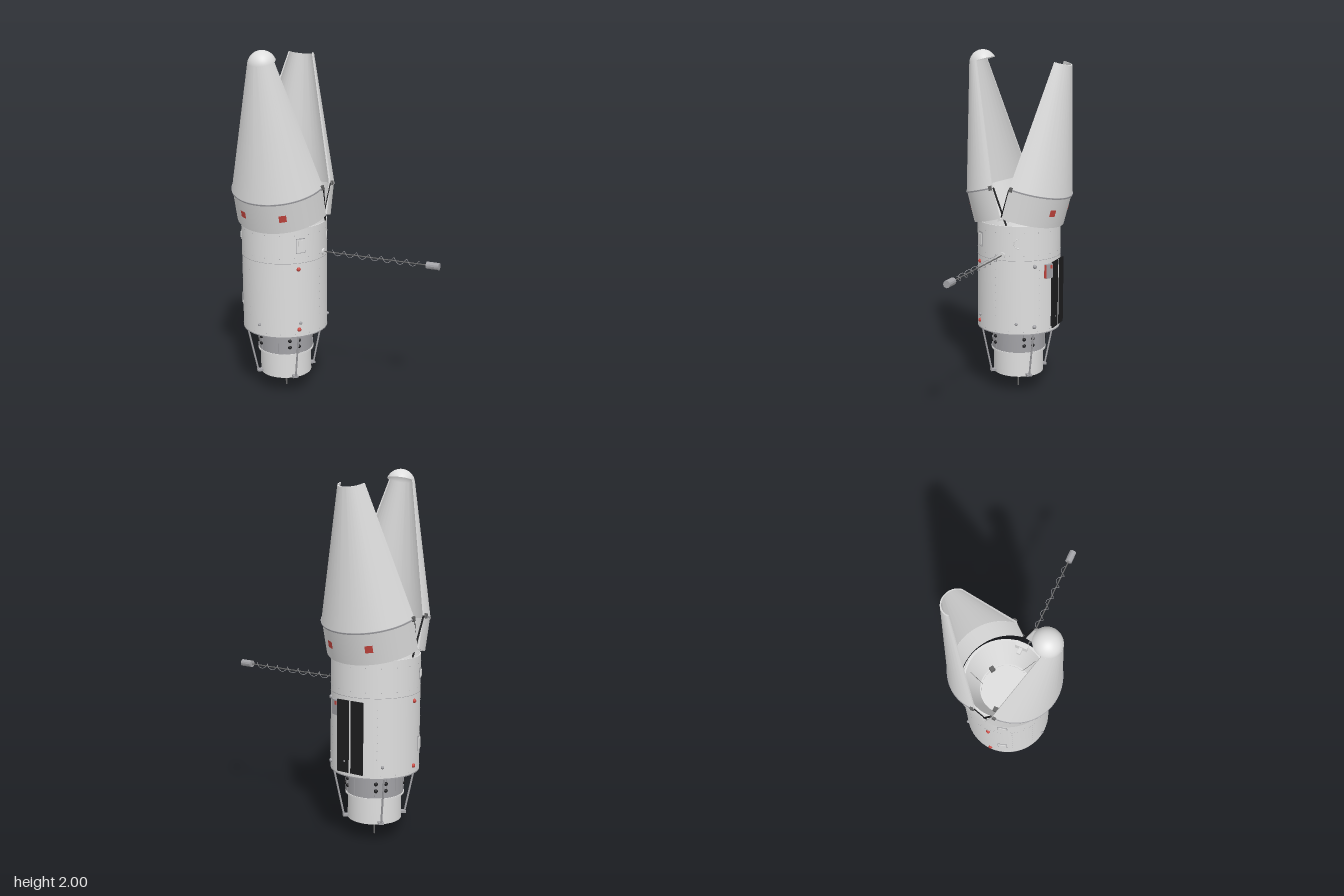
import * as THREE from 'three';
import { toCreasedNormals, mergeGeometries } from 'three/addons/utils/BufferGeometryUtils.js';

const colour = (name, hex) => {
  const m = new THREE.MeshStandardMaterial({ color: hex, side: THREE.DoubleSide });
  m.name = name;
  return m;
};
const light = colour('light grey', 0xdedede);
const steel = colour('steel grey', 0xa2a2a6);
const dark = colour('dark grey', 0x666666);
const black = colour('black', 0x1c1c1e);
const red = colour('red', 0xc8463f);

const rad = THREE.MathUtils.degToRad;
const v = (x, y, z) => new THREE.Vector3(x, y, z);
// Point on a cylinder; angle in degrees from +z towards +x
const polar = (r, deg, y) => v(r * Math.sin(rad(deg)), y, r * Math.cos(rad(deg)));

function add(parent, name, geometry, material, pos) {
  const mesh = new THREE.Mesh(geometry, material);
  mesh.name = name;
  if (pos) mesh.position.copy(pos);
  parent.add(mesh);
  return mesh;
}
function lathe(points, start = 0, length = Math.PI * 2, segments = 64) {
  const pts = points.map(([x, y]) => new THREE.Vector2(x, y));
  return toCreasedNormals(new THREE.LatheGeometry(pts, segments, start, length), 0.2);
}
// Round bar between two points
function rod(parent, name, a, b, r, material) {
  const d = b.clone().sub(a);
  const mesh = add(parent, name, new THREE.CylinderGeometry(r, r, d.length(), 8), material,
    a.clone().add(b).multiplyScalar(0.5));
  mesh.quaternion.setFromUnitVectors(v(0, 1, 0), d.normalize());
  return mesh;
}
// Thin curved plate lying on a cylinder
function plate(parent, name, r, deg, widthDeg, y, h, material) {
  const g = new THREE.CylinderGeometry(r, r, h, 12, 1, true, rad(deg - widthDeg / 2), rad(widthDeg));
  return add(parent, name, g, material, v(0, y, 0));
}
// Box on a cylinder, facing outwards
function outwardBox(parent, name, r, deg, y, size, material) {
  const mesh = add(parent, name, new THREE.BoxGeometry(...size), material, polar(r, deg, y));
  mesh.rotation.y = rad(deg);
  return mesh;
}

// One half of the opened nose fairing, hinged 15 degrees outwards
function fairingHalf(withNose) {
  const half = new THREE.Group();
  half.name = 'fairingHalf';
  const profile = [[0.255, 0], [0.264, 0], [0.264, 0.18], [0.267, 0.18], [0.076, 0.897],
    [0.069, 0.897], [0.256, 0.18], [0.255, 0.18], [0.255, 0]];
  add(half, 'fairingShell', lathe(profile, -Math.PI / 2, Math.PI, 48), light);
  const edge = new THREE.ShapeGeometry(new THREE.Shape(profile.map(([x, y]) => new THREE.Vector2(x, y))));
  add(half, 'shellEdge', edge, light);
  add(half, 'shellEdge', edge, light).rotation.y = Math.PI;
  add(half, 'seamBand', lathe([[0.264, 0.175], [0.27, 0.175], [0.27, 0.183], [0.265, 0.183]],
    -Math.PI / 2, Math.PI, 48), steel);
  for (const s of [-1, 1]) {
    plate(half, 'redMarker', 0.2665, s * 27, 9, 0.089, 0.04, red);
    add(half, 'hingeLug', new THREE.BoxGeometry(0.014, 0.026, 0.018), dark, v(s * 0.268, 0.18, 0.012));
  }
  if (withNose) {
    const R = 0.076 / Math.cos(rad(15));
    add(half, 'noseCap', new THREE.SphereGeometry(R, 32, 12, 0, Math.PI * 2, 0, rad(75)), light,
      v(0, 0.897 - R * Math.sin(rad(15)), 0));
  }
  half.position.set(0, 1.075, 0.005);
  half.rotation.x = rad(15);
  const pivot = new THREE.Group();
  pivot.name = withNose ? 'frontFairing' : 'backFairing';
  pivot.add(half);
  return pivot;
}

function buildHull(craft) {
  const R = 0.243;
  // Main drum with a conical recess in its top
  add(craft, 'mainBody', lathe([[0, 0.39], [R, 0.39], [R, 1.03], [0.237, 1.03], [0.23, 1.06],
    [0.22, 1.06], [0.146, 0.88], [0, 0.88]]), light);
  add(craft, 'recessRing', lathe([[0.146, 0.881], [0.146, 0.886], [0.137, 0.886], [0.137, 0.881]]), light);
  for (const [y, h] of [[0.393, 0.006], [0.83, 0.002]])
    add(craft, 'bodySeam', new THREE.CylinderGeometry(R + 0.001, R + 0.001, h, 64, 1, true), steel, v(0, y, 0));
  for (const deg of [-90, 30, 150])
    outwardBox(craft, 'recessLatch', 0.137, deg, 0.895, [0.026, 0.03, 0.026], dark);
  for (const deg of [189, 60, 303])
    rod(craft, 'recessRod', polar(0.2, deg, 1.02), polar(0.13, deg + 9, 0.93), 0.0012, dark);

  // Engine section, ribs and tail
  add(craft, 'engineSection', lathe([[0, 0.25], [0.158, 0.25], [0.158, 0.39]]), steel);
  add(craft, 'engineRim', lathe([[0.148, 0.246], [0.162, 0.246], [0.162, 0.256], [0.157, 0.256]]), light);
  for (let i = 0; i < 16; i++)
    outwardBox(craft, 'engineRib', 0.159, i * 22.5 + 11, 0.322, [0.003, 0.13, 0.004], steel);
  add(craft, 'tailSection', lathe([[0, 0.105], [0.148, 0.105], [0.148, 0.25]]), light);
  rod(craft, 'tailProbe', v(0, 0, 0), v(0, 0.107, 0), 0.005, dark);
  for (const deg of [45, 135, 225, 315]) {
    rod(craft, 'tailStrut', polar(0.23, deg, 0.393), polar(0.172, deg, 0.12), 0.0055, steel);
    outwardBox(craft, 'strutFoot', 0.161, deg, 0.119, [0.03, 0.012, 0.034], steel);
    for (const d of [-10, 10]) for (const y of [0.298, 0.337])
      add(craft, 'thruster', new THREE.SphereGeometry(0.011, 12, 8), black, polar(0.158, deg + d, y));
  }
}

function buildDetails(craft) {
  const R = 0.243;
  // Signal lamps and small sensor domes
  const bead = new THREE.SphereGeometry(0.012, 14, 10);
  for (const y of [0.795, 0.437]) {
    for (const deg of [45, 270]) add(craft, 'redLamp', bead, red, polar(R, deg, y));
    add(craft, 'greyLamp', bead, steel, polar(R, 135, y));
  }
  for (const [deg, y] of [[-10, 0.458], [47, 0.476], [110, 0.458], [172, 0.476], [222, 0.458]])
    add(craft, 'sensorDome', new THREE.SphereGeometry(0.009, 12, 8), steel, polar(R + 0.003, deg, y));

  // Hatches with raised frames
  for (const [deg, y, h] of [[48, 0.93, 0.085], [-70, 0.93, 0.06], [-72, 0.545, 0.085]]) {
    plate(craft, 'hatchFrame', R + 0.002, deg, 13, y, h, steel);
    plate(craft, 'hatchCover', R + 0.004, deg, 11.5, y, h - 0.008, light);
    outwardBox(craft, 'hatchBox', R, deg, y, [0.03, h - 0.025, 0.014], light);
  }
  // Half-round handrail beside the boom
  const rail = add(craft, 'handrail', new THREE.TorusGeometry(0.028, 0.0025, 6, 16, Math.PI), light,
    polar(R, 113, 0.93));
  rail.rotation.set(0, rad(113), Math.PI / 2, 'YXZ');

  // Solar panels on the back
  for (const s of [-1, 1]) {
    add(craft, 'solarPanel', new THREE.BoxGeometry(0.076, 0.395, 0.008), black, v(s * 0.043, 0.612, -0.246));
    add(craft, 'panelMount', new THREE.BoxGeometry(0.06, 0.38, 0.014), black, v(s * 0.04, 0.612, -0.236));
  }
  add(craft, 'panelDivider', new THREE.BoxGeometry(0.009, 0.395, 0.009), light, v(0, 0.612, -0.246));

  // Instrument box with red strips on its side and a small red marker
  outwardBox(craft, 'instrumentBox', R, 156, 0.76, [0.052, 0.082, 0.036], steel);
  const side = new THREE.Group();
  side.name = 'instrumentMarkings';
  side.position.copy(polar(R, 156, 0.76));
  side.rotation.y = rad(156);
  craft.add(side);
  for (const z of [0.004, 0.013])
    add(side, 'redStrip', new THREE.BoxGeometry(0.003, 0.078, 0.007), red, v(-0.0265, 0, z));
  add(side, 'redMarker', new THREE.BoxGeometry(0.014, 0.02, 0.003), red, v(0.012, 0.025, 0.0185));

  // Rows and columns of rivets, merged into one mesh
  const dots = [];
  const dot = (deg, y) => {
    const p = polar(R, deg, y);
    dots.push(new THREE.SphereGeometry(0.0022, 6, 4).translate(p.x, p.y, p.z));
  };
  for (const y of [0.41, 0.86, 0.99]) for (let d = 0; d < 360; d += 20) dot(d, y);
  for (const deg of [-58, -28, 80, 142, 215]) for (let y = 0.5; y < 0.8; y += 0.045) dot(deg, y);
  add(craft, 'rivets', mergeGeometries(dots), steel);

  // Linkages between the fairing halves: one thick and one thin bar on each side
  for (const s of [-1, 1]) {
    rod(craft, 'hingeLink', v(s * 0.266, 1.25, 0.045), v(s * 0.245, 1.035, -0.026), 0.005, black);
    rod(craft, 'hingeStay', v(s * 0.266, 1.25, -0.052), v(s * 0.25, 1.08, 0.004), 0.003, black);
  }
  add(craft, 'dockBracket', new THREE.BoxGeometry(0.03, 0.045, 0.072), light, v(0.215, 1.045, 0));
  add(craft, 'dockArm', new THREE.BoxGeometry(0.04, 0.02, 0.02), light, v(0.185, 1.045, 0));
}

// Long side boom with a spiral wire and an end canister
function buildBoom(craft) {
  const y = 0.86;
  rod(craft, 'boomSocket', v(0.235, y, 0), v(0.252, y, 0), 0.02, light);
  rod(craft, 'boom', v(0.24, y, 0), v(0.87, y, 0), 0.0035, dark);
  const coil = [];
  for (let i = 0; i <= 112; i++) {
    const a = (i / 112) * Math.PI * 14;
    coil.push(v(0.3 + 0.52 * i / 112, y + 0.016 * Math.cos(a), 0.016 * Math.sin(a)));
  }
  add(craft, 'spiralWire', new THREE.TubeGeometry(new THREE.CatmullRomCurve3(coil), 224, 0.0016, 5), steel);
  const can = add(craft, 'boomCanister', new THREE.CylinderGeometry(0.02, 0.02, 0.072, 12), steel, v(0.896, y, 0));
  can.rotation.z = Math.PI / 2;
  can.geometry = toCreasedNormals(can.geometry, 0.4);
}

export function createModel() {
  const model = new THREE.Group();
  model.name = 'spacecraft';
  const craft = new THREE.Group();
  craft.name = 'craft';
  craft.position.x = -0.328;
  model.add(craft);
  buildHull(craft);
  buildDetails(craft);
  buildBoom(craft);
  const back = fairingHalf(false);
  back.rotation.y = Math.PI;
  craft.add(fairingHalf(true), back);
  return model;
}
